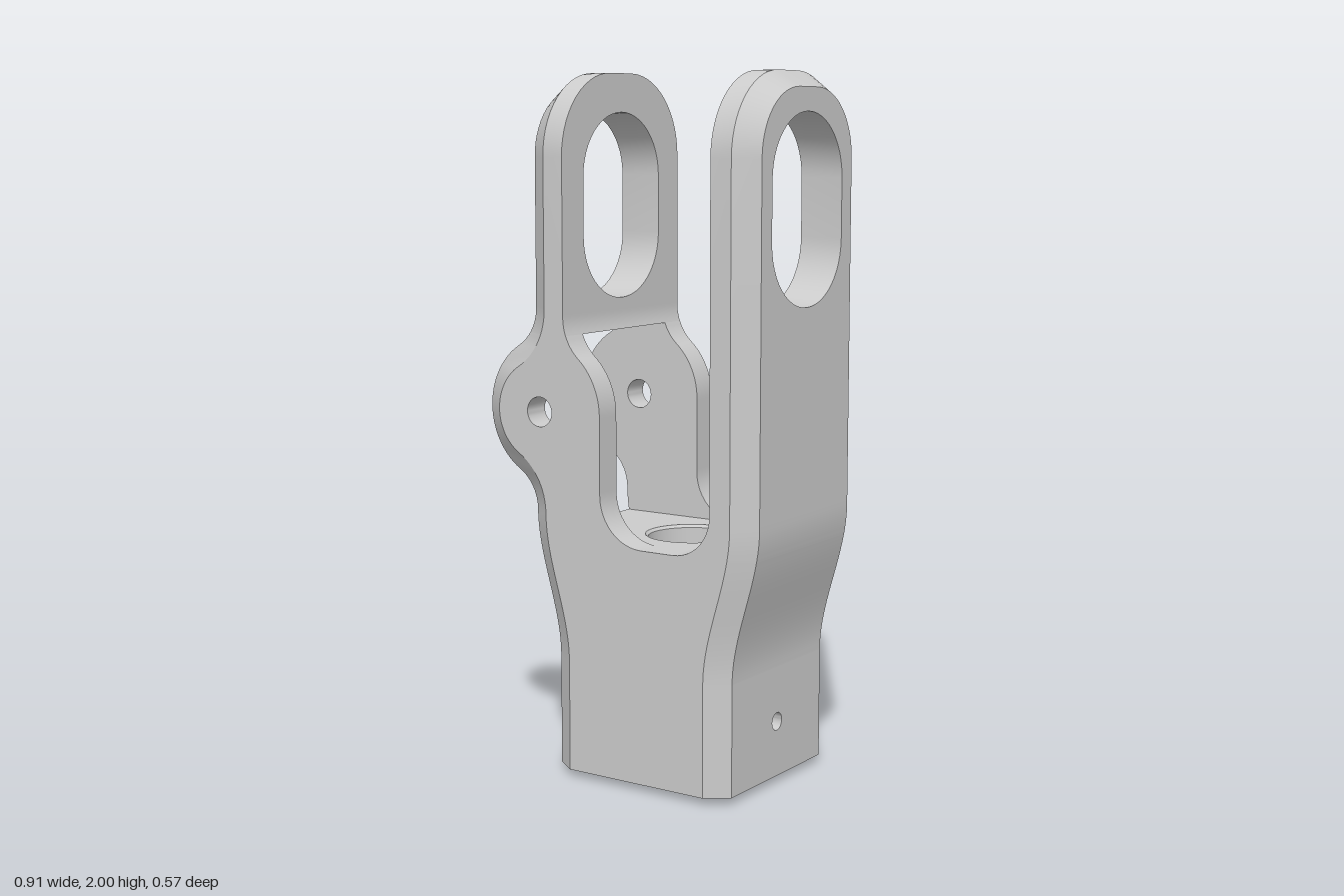
import * as THREE from 'three';
import { toCreasedNormals } from 'three/addons/utils/BufferGeometryUtils.js';

const D = 0.285, DZ = 0.238;        // half depth, and half depth inside the chamfer
const CH = 0.065;                   // chamfer width along x
const POCKET = 0.205;               // half width of the pocket between the ears
const FLOOR = 0.69, CEIL = 1.27, SPLIT = 1.342;
const BORE = 0.08, PIN = [-0.25, 1.05];

const material = new THREE.MeshStandardMaterial({ color: 0xcccccc, side: THREE.DoubleSide });

function add(group, name, geo) {
  const mesh = new THREE.Mesh(toCreasedNormals(geo, 0.5), material);
  mesh.name = name;
  group.add(mesh);
  return mesh;
}

// Surface through rows of [x, y, z] points
function surface(rows) {
  const n = rows[0].length, index = [];
  for (let i = 0; i < rows.length - 1; i++) {
    for (let j = 0; j < n - 1; j++) {
      const a = i * n + j, b = a + n;
      index.push(a, a + 1, b + 1, a, b + 1, b);
    }
  }
  const geo = new THREE.BufferGeometry();
  geo.setAttribute('position', new THREE.Float32BufferAttribute(rows.flat(2), 3));
  geo.setIndex(index);
  return geo;
}

// Flat outline with optional hole, placed in space by a mapping
function face(points, hole, map) {
  const shape = new THREE.Shape(points.map(p => new THREE.Vector2(p[0], p[1])));
  if (hole) shape.holes.push(new THREE.Path(hole.map(p => new THREE.Vector2(p[0], p[1]))));
  const geo = new THREE.ShapeGeometry(shape);
  const pos = geo.attributes.position;
  for (let i = 0; i < pos.count; i++) pos.setXYZ(i, ...map(pos.getX(i), pos.getY(i)));
  return geo;
}

const circle = (cx, cy, r, n = 32) => Array.from({ length: n }, (_, i) => {
  const a = i / n * Math.PI * 2;
  return [cx + r * Math.cos(a), cy + r * Math.sin(a)];
});
const closed = ring => [...ring, ring[0]];

// Side profiles as functions of height
const ease = (y, top) => THREE.MathUtils.smoothstep(y, 0.34, top);
const rightOuter = y => 0.37 + 0.085 * ease(y, 0.78);
const rightInner = y => y < 0.81 ? 0.205 + Math.sqrt(Math.max(0, 0.0144 - (0.81 - y) ** 2)) : 0.325;

// Distance from the pin axis to an ear edge: arc r, blended by fillet R into a line at distance a
function earEdge(y, a, r, R) {
  const d = Math.abs(y - PIN[1]), dx = a + R, dy = Math.sqrt((r + R) ** 2 - dx * dx);
  if (d < dy * r / (r + R)) return Math.sqrt(r * r - d * d);
  return d < dy ? dx - Math.sqrt(R * R - (dy - d) ** 2) : a;
}
const leftOuter = y => y < 0.758 ? -0.215 - 0.08 * ease(y, 0.76) : PIN[0] - earEdge(y, 0.045, 0.21, 0.13);
const leftInset = y => y < 0.758 ? leftOuter(y) + CH : PIN[0] - earEdge(y, -0.02, 0.145, 0.195);
function leftInner(y) {
  if (y < 0.83) return 0.1 - Math.sqrt(Math.max(0, 0.0196 - (0.83 - y) ** 2));
  return y < PIN[1] ? -0.04 : PIN[0] + earEdge(y, 0.085, 0.21, 0.15);
}

// Chamfered rectangle of the base at height y, as [x, z]
function baseSection(y) {
  const l = leftOuter(y), r = rightOuter(y);
  return [[l + CH, D], [r - CH, D], [r, DZ], [r, -DZ], [r - CH, -D], [l + CH, -D], [l, -DZ], [l, DZ]];
}

const steps = (a, b, n) => Array.from({ length: n + 1 }, (_, i) => a + (b - a) * i / n);

// Arch outline of an arm as [z, y]
function arch(halfWidth, top, radius) {
  const pts = [[halfWidth, SPLIT]];
  for (const t of steps(0, Math.PI / 2, 14))
    pts.push([halfWidth - radius + radius * Math.cos(t), top - radius + radius * Math.sin(t)]);
  return [...pts, ...pts.map(([z, y]) => [-z, y]).reverse()];
}

function buildArm(name, outer, inner) {
  const arm = new THREE.Group();
  arm.name = name;
  const mid = outer - Math.sign(outer) * CH;
  const big = arch(D, 2, 0.235), small = arch(DZ, 1.955, 0.19);
  const slot = [];
  for (const [cy, start] of [[1.708, 0], [1.542, Math.PI]])
    for (const t of steps(start, start + Math.PI, 24)) slot.push([0.185 * Math.cos(t), cy + 0.182 * Math.sin(t)]);
  const at = x => ([z, y]) => [x, y, z];
  add(arm, 'innerFace', face(big, slot, (z, y) => [inner, y, z]));
  add(arm, 'outerFace', face(small, slot, (z, y) => [outer, y, z]));
  add(arm, 'rim', surface([big.map(at(inner)), big.map(at(mid)), small.map(at(outer))]));
  add(arm, 'slotWall', surface([closed(slot).map(at(inner)), closed(slot).map(at(outer))]));
  return arm;
}

function buildBase() {
  const base = new THREE.Group();
  base.name = 'base';
  // Straight lower walls, two of them drilled
  const ring = baseSection(0.02);
  ring.forEach((p, i) => {
    const q = ring[(i + 1) % 8], len = Math.hypot(q[0] - p[0], q[1] - p[1]);
    const drill = i === 2 ? [0.18, 0.026, 0.165] : i === 5 ? [0.06, 0.022, 0.1] : null;
    const hole = drill && circle(len / 2, drill[0], drill[1], 20);
    const dir = [(q[0] - p[0]) / len, (q[1] - p[1]) / len];
    const put = (u, y, depth = 0) => [p[0] + dir[0] * u + dir[1] * depth, y, p[1] + dir[1] * u - dir[0] * depth];
    add(base, 'lowerWall', face([[0, 0.02], [len, 0.02], [len, 0.34], [0, 0.34]], hole, (u, y) => put(u, y)));
    if (hole) add(base, 'crossHole', surface([0, drill[2]].map(d => closed(hole).map(([u, y]) => put(u, y, d)))));
  });
  // Flared upper walls
  add(base, 'flaredWall', surface(steps(0.34, FLOOR, 16).map(y => closed(baseSection(y)).map(([x, z]) => [x, y, z]))));
  // Floor of the fork and underside, both pierced by the bore
  add(base, 'forkFloor', face(baseSection(FLOOR), circle(BORE, 0, 0.135, 48), (x, z) => [x, FLOOR, z]));
  add(base, 'underside', face(ring, circle(BORE, 0, 0.18, 48), (x, z) => [x, 0.02, z]));
  const profile = [[0.18, 0.02], [0.18, 0], [0.135, 0], [0.127, 0.008], [0.127, FLOOR - 0.008], [0.135, FLOOR]];
  const bore = new THREE.LatheGeometry(profile.map(p => new THREE.Vector2(...p)), 48);
  add(base, 'boreAndBoss', bore).position.x = BORE;
  return base;
}

function buildEar(side, ys) {
  const ear = new THREE.Group();
  ear.name = side > 0 ? 'frontEar' : 'backEar';
  const zi = POCKET * side, zm = DZ * side, zo = D * side;
  const outline = edge => [...ys.map(y => [leftInner(y), y]), ...[...ys].reverse().map(y => [edge(y), y])];
  const pin = circle(...PIN, 0.043);
  add(ear, 'outerFace', face(outline(leftInset), pin, (x, y) => [x, y, zo]));
  add(ear, 'pocketFace', face(outline(leftOuter), pin, (x, y) => [x, y, zi]));
  add(ear, 'innerEdge', surface(ys.map(y => [[leftInner(y), y, zi], [leftInner(y), y, zo]])));
  add(ear, 'outerEdge', surface(ys.map(y => [[leftOuter(y), y, zi], [leftOuter(y), y, zm], [leftInset(y), y, zo]])));
  add(ear, 'pinHole', surface([zi, zo].map(z => closed(pin).map(([x, y]) => [x, y, z]))));
  return ear;
}

export function createModel() {
  const model = new THREE.Group();
  model.name = 'forkBracket';
  model.add(buildBase());

  // Heights packed closely where the fork floor curves up
  const curve = steps(0, Math.PI / 2, 12).map(t => FLOOR + 0.14 * (1 - Math.cos(t)));
  const earYs = [...curve, ...steps(0.84, CEIL, 44)];
  const rightYs = [...curve, SPLIT];

  // Plain lower arm
  add(model, 'rightLowerArm', surface(rightYs.map(y => {
    const i = rightInner(y), o = rightOuter(y);
    return [[i, D], [o - CH, D], [o, DZ], [o, -DZ], [o - CH, -D], [i, -D], [i, D]].map(([x, z]) => [x, y, z]);
  })));

  // Pierced ears either side of the pocket
  for (const side of [1, -1]) model.add(buildEar(side, earYs));

  // Bridge closing the pocket below the slotted arm
  add(model, 'pocketBridge', surface(steps(CEIL, SPLIT, 8).map(y => {
    const i = leftInner(y), o = leftOuter(y), c = leftInset(y);
    return [[i, D], [c, D], [o, DZ], [o, -DZ], [c, -D], [i, -D], [i, D]].map(([x, z]) => [x, y, z]);
  })));
  const a = leftOuter(CEIL), b = leftInner(CEIL);
  add(model, 'pocketCeiling', face([[a, -POCKET], [b, -POCKET], [b, POCKET], [a, POCKET]], null, (x, z) => [x, CEIL, z]));

  // Slotted arms
  model.add(buildArm('rightArm', 0.455, 0.325), buildArm('leftArm', -0.295, -0.165));
  return model;
}
